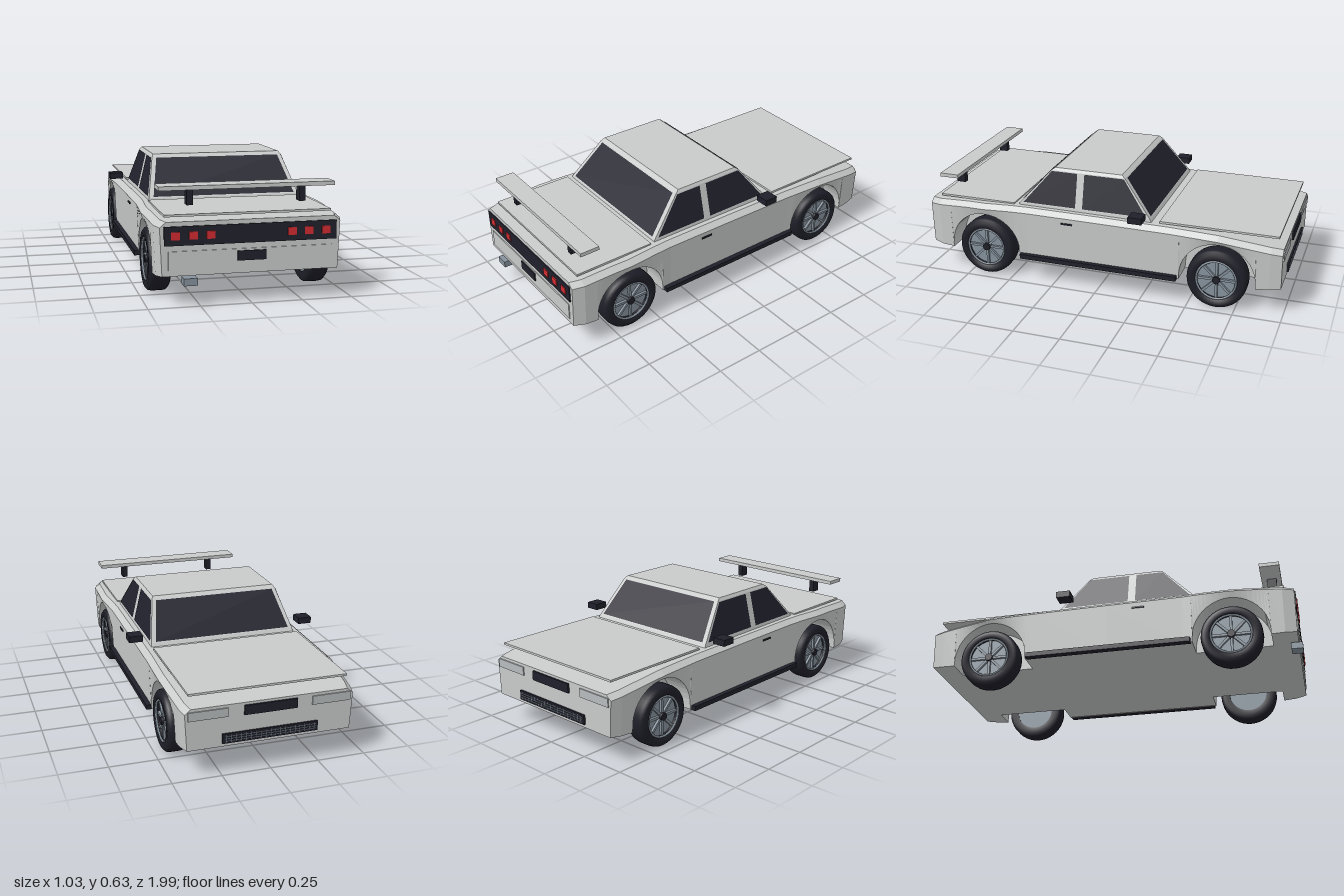
import * as THREE from 'three';

const mat = (name, color, side = THREE.FrontSide) => {
  const m = new THREE.MeshStandardMaterial({ color, side });
  m.name = name;
  return m;
};

// piecewise linear lookup in [[z, value], ...]
function lerpTable(table, z) {
  for (let i = 1; i < table.length; i++) {
    const [z0, v0] = table[i - 1], [z1, v1] = table[i];
    if (z <= z1) return v0 + (v1 - v0) * (z - z0) / (z1 - z0);
  }
  return table[table.length - 1][1];
}

const HALF_WIDTH = [[-0.98, 0.43], [-0.92, 0.443], [-0.65, 0.465], [-0.4, 0.46], [0.4, 0.46], [0.65, 0.475], [0.92, 0.46], [0.98, 0.44]];
const DECK = [[-0.98, 0.36], [-0.65, 0.405], [-0.3, 0.415], [0.5, 0.42], [0.75, 0.415], [0.98, 0.402]];
const FLOOR = [[-0.98, 0.145], [-0.88, 0.135], [0.88, 0.135], [0.98, 0.145]];
const AXLES = [-0.65, 0.65], ARCH = 0.2, AXLE_Y = 0.16;

function facets(tris) {
  const g = new THREE.BufferGeometry();
  g.setAttribute('position', new THREE.Float32BufferAttribute(tris.flat(2), 3));
  g.computeVertexNormals();
  return g;
}

// body shell lofted along z, with the wheel arches cut into the lower edge
function bodyGeometry() {
  const zs = [-0.98, -0.92, -0.4, 0, 0.4, 0.92, 0.98];
  for (const c of AXLES) {
    zs.push(c - ARCH - 0.0005, c + ARCH + 0.0005);
    for (let i = 0; i <= 20; i++) zs.push(c - ARCH * Math.cos(Math.PI * i / 20));
  }
  zs.sort((a, b) => a - b);
  const rings = zs.map(z => {
    const w = lerpTable(HALF_WIDTH, z), top = lerpTable(DECK, z), floor = lerpTable(FLOOR, z);
    let edge = floor;
    for (const c of AXLES) {
      const d = Math.abs(z - c);
      if (d <= ARCH + 1e-6) edge = AXLE_Y + Math.sqrt(Math.max(0, ARCH * ARCH - d * d));
    }
    const half = [[0, floor], [0.31, floor], [0.31, edge], [w - 0.01, edge], [w, top - 0.025], [w - 0.03, top], [0, top]];
    const mirror = half.slice(1, -1).reverse().map(([x, y]) => [-x, y]);
    return [...half, ...mirror].map(([x, y]) => [x, y, z]);
  });
  const tris = [], n = rings[0].length;
  for (let k = 0; k < rings.length - 1; k++) {
    for (let i = 0; i < n; i++) {
      const j = (i + 1) % n;
      const a = rings[k][i], b = rings[k][j], c = rings[k + 1][j], d = rings[k + 1][i];
      tris.push([a, b, c], [a, c, d]);
    }
  }
  const first = rings[0], last = rings[rings.length - 1];
  for (let i = 0; i < n; i++) {
    const j = (i + 1) % n;
    tris.push([[0, 0.25, 0.98], last[i], last[j]], [[0, 0.25, -0.98], first[j], first[i]]);
  }
  return facets(tris);
}

// cabin: loft through rectangles [y, halfWidth, zMin, zMax]
function cabinGeometry(levels) {
  const rings = levels.map(([y, w, z0, z1]) => [[-w, y, z1], [w, y, z1], [w, y, z0], [-w, y, z0]]);
  const tris = [];
  for (let k = 0; k < rings.length - 1; k++) {
    for (let i = 0; i < 4; i++) {
      const j = (i + 1) % 4;
      const a = rings[k][i], b = rings[k][j], c = rings[k + 1][j], d = rings[k + 1][i];
      tris.push([a, b, c], [a, c, d]);
    }
  }
  const t = rings[rings.length - 1];
  tris.push([t[0], t[1], t[2]], [t[0], t[2], t[3]]);
  return facets(tris);
}

export function createModel() {
  const model = new THREE.Group();
  model.name = 'car';
  const paint = mat('silverPaint', 0xc9cbcb);
  const dark = mat('blackTrim', 0x20202b);
  const glass = mat('darkGlass', 0x22222e, THREE.DoubleSide);
  const red = mat('redLamp', 0xd22c30);
  const metal = mat('greyMetal', 0x86929d);
  const lens = mat('paleLens', 0xb8bcbe);
  const rubber = mat('rubber', 0x1e1e28);

  const add = (name, geo, material, parent = model) => {
    const m = new THREE.Mesh(geo, material);
    m.name = name;
    parent.add(m);
    return m;
  };
  const box = (name, material, x0, x1, y0, y1, z0, z1) => {
    const m = add(name, new THREE.BoxGeometry(x1 - x0, y1 - y0, z1 - z0), material);
    m.position.set((x0 + x1) / 2, (y0 + y1) / 2, (z0 + z1) / 2);
    return m;
  };

  add('body', bodyGeometry(), paint);
  box('longLid', paint, -0.405, 0.405, 0.416, 0.427, -0.955, -0.33);
  box('shortLid', paint, -0.41, 0.41, 0.416, 0.427, 0.49, 0.93);

  // cabin and windows
  add('cabin', cabinGeometry([[0.405, 0.405, -0.29, 0.47], [0.43, 0.4, -0.275, 0.46], [0.62, 0.354, -0.125, 0.29], [0.635, 0.345, -0.105, 0.27]]), paint);
  const sideX = y => 0.4 - 0.046 * (y - 0.43) / 0.19 + 0.003;
  const pane = (name, pts) => add(name, facets([[pts[0], pts[1], pts[2]], [pts[0], pts[2], pts[3]]]), glass);
  const sidePanes = [
    [[0.438, 0.436], [0.14, 0.436], [0.14, 0.617], [0.285, 0.617]],
    [[0.1, 0.436], [-0.255, 0.436], [-0.12, 0.617], [0.1, 0.617]],
  ];
  for (const pts of sidePanes) {
    pane('leftWindow', pts.map(([z, y]) => [sideX(y), y, z]));
    pane('rightWindow', pts.map(([z, y]) => [-sideX(y), y, z]).reverse());
  }
  pane('frontScreen', [[-0.376, 0.436, 0.459], [0.376, 0.436, 0.459], [0.332, 0.618, 0.296], [-0.332, 0.618, 0.296]]);
  pane('backScreen', [[0.376, 0.436, -0.274], [-0.376, 0.436, -0.274], [-0.332, 0.618, -0.131], [0.332, 0.618, -0.131]]);

  // side trim
  for (const s of [-1, 1]) {
    const sideBox = (name, x0, x1, ...rest) => box(name, dark, Math.min(s * x0, s * x1), Math.max(s * x0, s * x1), ...rest);
    sideBox('sill', 0.44, 0.477, 0.13, 0.155, -0.44, 0.44);
    sideBox('mirror', 0.443, 0.517, 0.442, 0.476, -0.265, -0.19);
    sideBox('doorHandle', 0.45, 0.464, 0.359, 0.368, 0.135, 0.2);
    sideBox('wingStrut', 0.263, 0.293, 0.462, 0.54, 0.84, 0.89);
  }
  box('wing', paint, -0.433, 0.433, 0.538, 0.558, 0.81, 0.915);

  // lamp end, facing +z
  box('lampPanel', dark, -0.42, 0.42, 0.29, 0.381, 0.975, 0.986);
  for (const s of [-1, 1]) {
    for (const x of [0.198, 0.281, 0.367]) box('redLamp', red, s * x - 0.021, s * x + 0.021, 0.318, 0.355, 0.98, 0.991);
  }
  box('bumperPanel', paint, -0.4, 0.4, 0.172, 0.263, 0.975, 0.985);
  box('numberPlate', dark, -0.07, 0.07, 0.207, 0.254, 0.98, 0.991);
  box('exhaust', metal, -0.33, -0.263, 0.1, 0.135, 0.94, 1.0);

  // grille end, facing -z
  box('centreGrille', dark, -0.135, 0.135, 0.298, 0.347, -0.99, -0.975);
  for (const s of [-1, 1]) box('headlamp', lens, s * 0.315 - 0.1, s * 0.315 + 0.1, 0.3, 0.345, -0.986, -0.975);
  box('lowerGrille', dark, -0.245, 0.245, 0.163, 0.213, -0.99, -0.975);
  for (let i = 0; i < 3; i++) box('grilleBar', metal, -0.235, 0.235, 0.175 + i * 0.012, 0.177 + i * 0.012, -0.993, -0.985);
  for (let i = -9; i <= 9; i++) box('grilleRib', metal, i * 0.025 - 0.001, i * 0.025 + 0.001, 0.168, 0.208, -0.992, -0.985);

  // wheels, turned about y and laid on their side
  const tyreProfile = [[0.106, -0.05], [0.142, -0.055], [0.157, -0.042], [0.16, -0.025], [0.16, 0.025], [0.157, 0.042], [0.142, 0.055], [0.113, 0.055], [0.106, 0.035], [0.106, -0.05]];
  const tyreGeo = new THREE.LatheGeometry(tyreProfile.map(p => new THREE.Vector2(...p)), 40);
  const discGeo = new THREE.CylinderGeometry(0.107, 0.107, 0.075, 32);
  const rimGeo = new THREE.TorusGeometry(0.105, 0.006, 6, 36).rotateX(Math.PI / 2);
  const hubGeo = new THREE.CylinderGeometry(0.02, 0.022, 0.03, 16);
  const spokeGeo = new THREE.BoxGeometry(0.09, 0.014, 0.013).translate(0.058, 0, 0);
  for (const s of [-1, 1]) {
    for (const z of AXLES) {
      const wheel = new THREE.Group();
      wheel.name = 'wheel';
      wheel.position.set(s * 0.405, AXLE_Y, z);
      wheel.rotation.z = -s * Math.PI / 2;
      model.add(wheel);
      add('tyre', tyreGeo, rubber, wheel);
      add('wheelDisc', discGeo, metal, wheel).position.y = -0.01;
      add('rim', rimGeo, metal, wheel).position.y = 0.048;
      add('hub', hubGeo, dark, wheel).position.y = 0.038;
      for (let i = 0; i < 8; i++) {
        const spoke = add('spoke', spokeGeo, metal, wheel);
        spoke.position.y = 0.034;
        spoke.rotation.y = i * Math.PI / 4;
      }
    }
  }
  return model;
}
